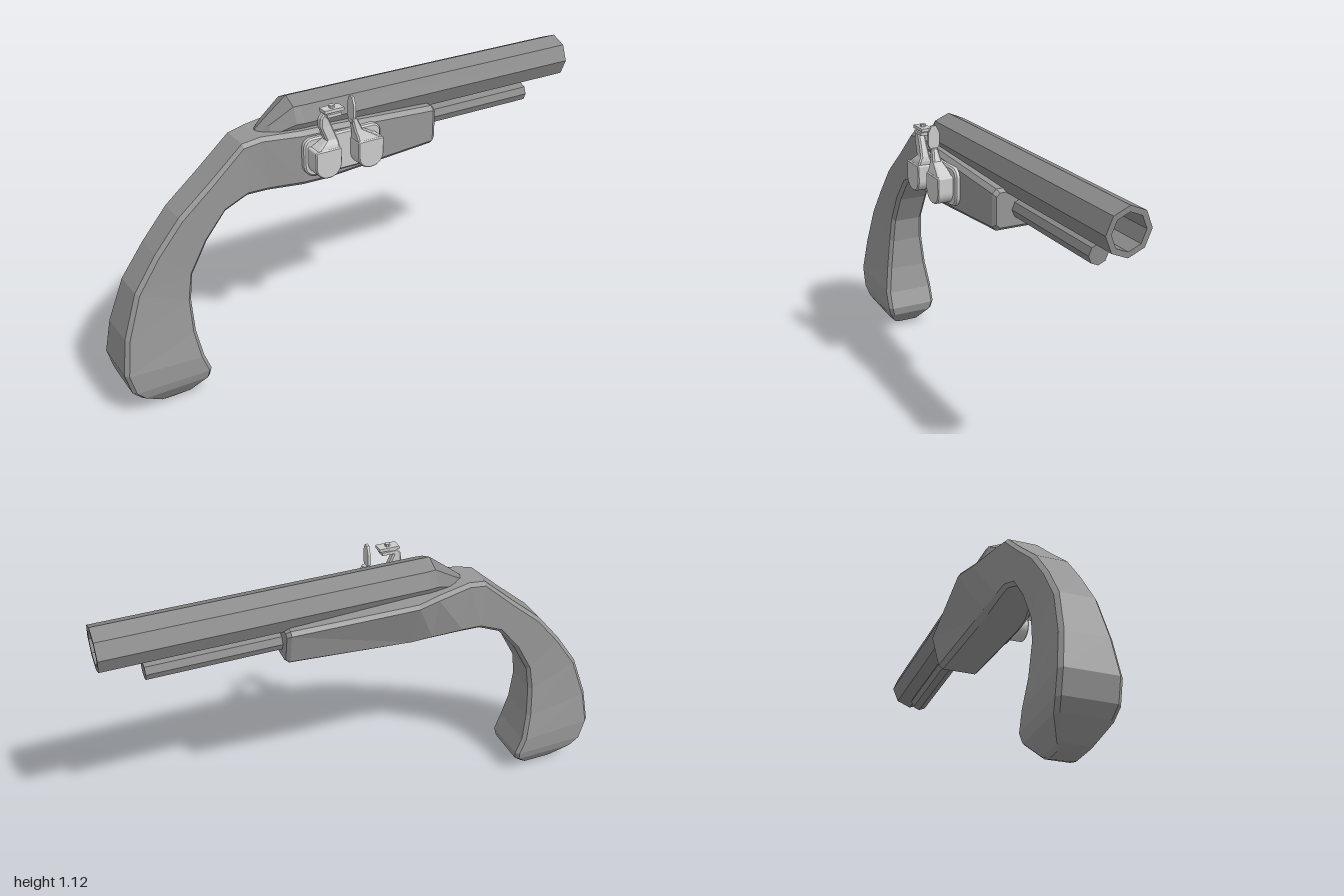
import * as THREE from 'three';

const grey = color => new THREE.MeshStandardMaterial({ color, flatShading: true });
const WOOD = grey(0x979797);
const IRON = grey(0x8a8a8a);
const STEEL = grey(0xcccccc);
const CZ = -0.02; // centre plane of barrel and grip

function part(name, geometry, material, parent) {
  const mesh = new THREE.Mesh(geometry, material);
  mesh.name = name;
  parent.add(mesh);
  return mesh;
}

// Skins a list of rings (equal point counts) and caps both ends
function loft(rings) {
  const pos = [];
  const n = rings[0].length;
  const tri = (a, b, c) => pos.push(...a, ...b, ...c);
  for (let i = 0; i < rings.length - 1; i++) {
    for (let j = 0; j < n; j++) {
      const k = (j + 1) % n;
      const a = rings[i][j], b = rings[i][k], c = rings[i + 1][k], d = rings[i + 1][j];
      tri(a, b, c);
      tri(a, c, d);
    }
  }
  const first = rings[0], last = rings[rings.length - 1];
  for (let j = 1; j < n - 1; j++) {
    tri(first[0], first[j + 1], first[j]);
    tri(last[0], last[j], last[j + 1]);
  }
  const geometry = new THREE.BufferGeometry();
  geometry.setAttribute('position', new THREE.Float32BufferAttribute(pos, 3));
  geometry.computeVertexNormals();
  return geometry;
}

// Cuts each corner of a polygon at distance c
function chamfer(corners, c) {
  const pts = corners.map(p => new THREE.Vector3(...p));
  const n = pts.length;
  return pts.flatMap((p, i) => [pts[(i + n - 1) % n], pts[(i + 1) % n]].map(q =>
    p.clone().add(q.clone().sub(p).setLength(c)).toArray()));
}

// Stock section: upper edge, lower edge, four side depths
const section = (ox, oy, ix, iy, topBack, topFront, lowFront, lowBack, c) => chamfer([
  [ox, oy, topBack], [ox, oy, topFront], [ix, iy, lowFront], [ix, iy, lowBack]], c);

// Symmetric grip section with half width w
const grip = (ox, oy, ix, iy, w, c = 0.014) =>
  section(ox, oy, ix, iy, CZ - w, CZ + w, CZ + w, CZ - w, c);

// Octagonal ring across x
function octagon(x, y, r, rz = r) {
  return Array.from({ length: 8 }, (_, i) => {
    const a = i * Math.PI / 4;
    return [x, y + r * Math.cos(a), CZ + rz * Math.sin(a)];
  });
}

// Upright block from rectangles [x0, x1, y, z0, z1], bottom to top
function block(rects) {
  return loft(rects.map(([x0, x1, y, z0, z1]) => chamfer(
    [[x0, y, z1], [x1, y, z1], [x1, y, z0], [x0, y, z0]], 0.006)));
}

// Plate with rounded corners (lower radius r, upper radius t), extruded from z0 to z1
function roundedPlate(x0, x1, y0, y1, r, t, z0, z1, bevel) {
  const s = new THREE.Shape();
  s.absarc(x0 + r, y0 + r, r, Math.PI, Math.PI * 1.5);
  s.absarc(x1 - r, y0 + r, r, Math.PI * 1.5, Math.PI * 2);
  s.absarc(x1 - t, y1 - t, t, 0, Math.PI / 2);
  s.absarc(x0 + t, y1 - t, t, Math.PI / 2, Math.PI);
  return new THREE.ExtrudeGeometry(s, {
    depth: z1 - z0 - bevel, curveSegments: 5, bevelSize: bevel, bevelOffset: -bevel,
    bevelThickness: bevel, bevelSegments: 1 }).translate(0, 0, z0);
}

export function createModel() {
  const model = new THREE.Group();
  model.name = 'pistol';

  // Curved grip running into the faceted fore-stock
  part('stock', loft([
    grip(-0.84, 0, -0.76, 0, 0.045),
    grip(-0.87, 0.012, -0.725, 0.012, 0.058),
    grip(-0.945, 0.075, -0.668, 0.075, 0.1),
    grip(-0.98, 0.115, -0.662, 0.11, 0.109),
    grip(-1.002, 0.2, -0.688, 0.18, 0.109),
    grip(-0.98, 0.34, -0.707, 0.29, 0.092),
    grip(-0.92, 0.51, -0.71, 0.42, 0.077),
    grip(-0.83, 0.64, -0.695, 0.52, 0.072),
    grip(-0.73, 0.76, -0.63, 0.64, 0.072),
    grip(-0.6, 0.87, -0.55, 0.74, 0.072),
    grip(-0.47, 0.985, -0.46, 0.78, 0.072),
    section(-0.4, 0.998, -0.38, 0.783, -0.1, 0.06, 0.06, -0.092, 0.014),
    section(-0.25, 0.998, -0.25, 0.783, -0.143, 0.09, 0.09, -0.092, 0.016),
    section(-0.16, 0.998, -0.16, 0.783, -0.174, 0.094, 0.094, -0.092, 0.016),
    section(0.32, 0.972, 0.32, 0.815, -0.125, 0.09, 0.09, -0.087, 0.016),
    section(0.335, 0.96, 0.335, 0.828, -0.112, 0.08, 0.08, -0.079, 0.014),
  ]), WOOD, model);

  // Octagonal barrel with tapered tail and open bore
  part('barrel', loft([
    octagon(-0.39, 0.97, 0.032, 0.025),
    octagon(-0.35, 0.985, 0.05, 0.052),
    octagon(-0.26, 1.019, 0.086, 0.082),
    octagon(-0.23, 1.019, 0.086),
    octagon(1, 1.019, 0.086),
    octagon(1, 1.019, 0.065),
    octagon(0.7, 1.019, 0.065),
  ]), IRON, model);

  part('ramrod', loft([octagon(0.3, 0.89, 0.038), octagon(0.84, 0.89, 0.038)]), IRON, model);

  // Lock plate on the front side
  const lock = new THREE.Group();
  lock.name = 'lock';
  model.add(lock);
  part('lockPlate', roundedPlate(-0.258, 0.068, 0.822, 0.975, 0.05, 0.035, 0.075, 0.11, 0.006),
    STEEL, lock);

  // Round-bottomed bodies of the two moving parts
  for (const [name, x] of [['hammerBody', -0.19], ['frizzenBody', -0.01]]) {
    part(name, roundedPlate(x - 0.054, x + 0.054, 0.833, 0.945, 0.05, 0.008, 0.105, 0.171, 0.004),
      STEEL, lock);
  }

  // Hammer neck bent towards the jaw
  part('hammerNeck', block([
    [-0.238, -0.142, 0.94, 0.105, 0.168],
    [-0.212, -0.14, 0.958, 0.11, 0.162],
    [-0.19, -0.143, 0.975, 0.116, 0.153],
    [-0.212, -0.165, 1.03, 0.12, 0.15],
    [-0.21, -0.178, 1.06, 0.12, 0.15],
    [-0.195, -0.155, 1.08, 0.12, 0.15],
  ]), STEEL, lock);
  for (const [name, y, width] of [['lowerJaw', 1.07, 0.06], ['upperJaw', 1.087, 0.08]]) {
    const jaw = part(name, new THREE.BoxGeometry(width, 0.012, 0.042), STEEL, lock);
    jaw.position.set(-0.16, y, 0.138);
  }
  const screw = part('jawScrew', new THREE.CylinderGeometry(0.011, 0.011, 0.02, 8), STEEL, lock);
  screw.position.set(-0.16, 1.093, 0.138);

  // Striker neck with an upright oval plate
  part('frizzenNeck', block([
    [-0.062, 0.04, 0.94, 0.105, 0.168],
    [-0.064, 0.005, 0.962, 0.11, 0.16],
    [-0.07, -0.035, 0.985, 0.116, 0.152],
    [-0.08, -0.055, 1.03, 0.122, 0.146],
  ]), STEEL, lock);
  const disc = new THREE.CylinderGeometry(0.025, 0.025, 0.01, 8);
  disc.rotateY(Math.PI / 8).rotateZ(Math.PI / 2).scale(1, 2.2, 1);
  part('frizzenPlate', disc, STEEL, lock).position.set(-0.074, 1.065, 0.133);

  return model;
}
